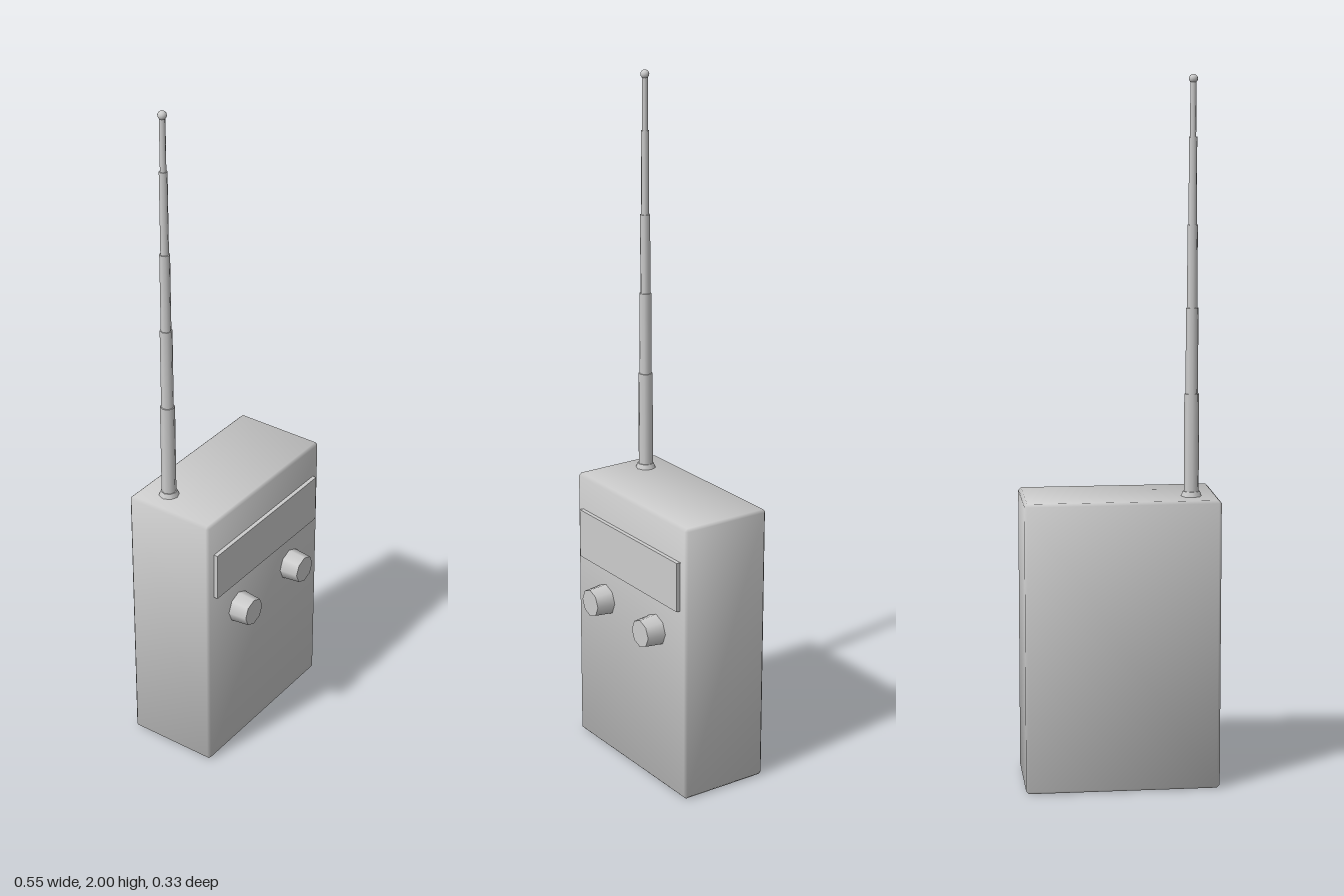
import * as THREE from 'three';
import { ConvexGeometry } from 'three/addons/geometries/ConvexGeometry.js';

// Box with a small chamfer and softly blended corner normals
function chamferedBox(w, h, d, bevel, blend) {
  const half = [w / 2, h / 2, d / 2];
  const points = [];
  for (const sx of [-1, 1]) for (const sy of [-1, 1]) for (const sz of [-1, 1]) {
    for (let axis = 0; axis < 3; axis++) {
      const p = [sx, sy, sz].map((s, i) => s * (half[i] - (i === axis ? 0 : bevel)));
      points.push(new THREE.Vector3(...p));
    }
  }
  const geometry = new ConvexGeometry(points);
  const pos = geometry.attributes.position;
  const normal = geometry.attributes.normal;
  const n = new THREE.Vector3();
  for (let i = 0; i < pos.count; i++) {
    const p = [pos.getX(i), pos.getY(i), pos.getZ(i)];
    const c = p.map((v, k) => Math.sign(v) * (Math.abs(v) > half[k] - bevel / 2 ? 1 : blend));
    n.set(...c).normalize();
    normal.setXYZ(i, n.x, n.y, n.z);
  }
  return geometry;
}

export function createModel() {
  const model = new THREE.Group();
  model.name = 'handheldRadio';
  const grey = new THREE.MeshStandardMaterial({ color: 0xcccccc });
  grey.name = 'lightGrey';

  const add = (parent, name, geometry, x, y, z) => {
    const mesh = new THREE.Mesh(geometry, grey);
    mesh.name = name;
    mesh.position.set(x, y, z);
    parent.add(mesh);
    return mesh;
  };

  // Case and raised display panel
  add(model, 'case', chamferedBox(0.55, 0.83, 0.275, 0.008, 0.35), 0, 0.415, -0.0275);
  add(model, 'displayPanel', new THREE.BoxGeometry(0.494, 0.146, 0.03), 0, 0.652, 0.107);

  // Tapered control knobs
  for (const side of [-1, 1]) {
    const knob = new THREE.CylinderGeometry(0.041, 0.047, 0.06, 8);
    knob.rotateX(Math.PI / 2);
    add(model, side < 0 ? 'rightKnob' : 'leftKnob', knob, side * 0.129, 0.48, 0.135);
  }

  // Telescopic antenna
  const antenna = new THREE.Group();
  antenna.name = 'antenna';
  antenna.position.set(-0.2, 0, -0.08);
  model.add(antenna);
  add(antenna, 'antennaCollar', new THREE.CylinderGeometry(0.024, 0.03, 0.016, 8), 0, 0.836, 0);
  const joints = [0.83, 1.12, 1.36, 1.59, 1.83, 1.985];
  const radii = [0.021, 0.0175, 0.0145, 0.0115, 0.0085];
  radii.forEach((r, i) => {
    const length = joints[i + 1] - joints[i];
    add(antenna, 'antennaSection' + (i + 1), new THREE.CylinderGeometry(r, r, length, 8),
      0, joints[i] + length / 2, 0);
  });
  add(antenna, 'antennaTip', new THREE.SphereGeometry(0.0125, 12, 8), 0, 1.9875, 0);

  return model;
}
